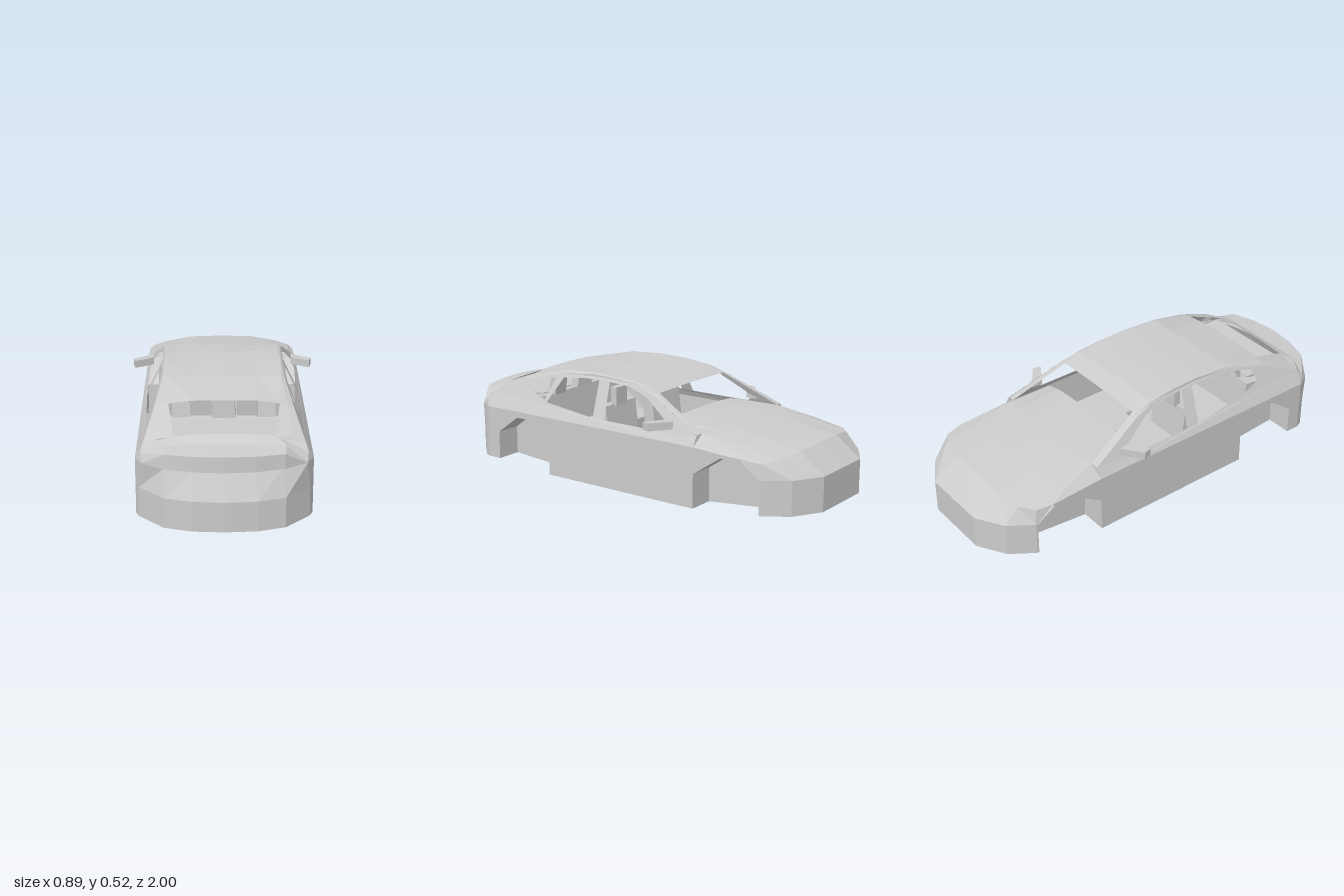
import * as THREE from 'three';

const mat = new THREE.MeshStandardMaterial({ color: 0xcccccc, flatShading: true, side: THREE.DoubleSide });

function mesh(name, geo) {
  const flat = geo.index ? geo.toNonIndexed() : geo;
  flat.computeVertexNormals();
  const m = new THREE.Mesh(flat, mat);
  m.name = name;
  return m;
}

// Skin between rows of [x, y, z] points
function loft(name, rows) {
  const n = rows[0].length, idx = [];
  for (let r = 0; r < rows.length - 1; r++) {
    for (let i = 0; i < n - 1; i++) {
      const a = r * n + i, b = a + n;
      idx.push(a, a + 1, b, b, a + 1, b + 1);
    }
  }
  const g = new THREE.BufferGeometry();
  g.setAttribute('position', new THREE.Float32BufferAttribute(rows.flat(2), 3));
  g.setIndex(idx);
  return mesh(name, g);
}

// Rows run from the left edge to the centre line; complete them on the right
const full = rows => rows.map(r => [...r, ...r.slice(0, -1).reverse().map(([x, y, z]) => [-x, y, z])]);

// Flat outline with holes, whose points are then placed in space by a rule
function panel(name, outline, holes, place) {
  const v = p => new THREE.Vector2(p[0], p[1]);
  const s = new THREE.Shape(outline.map(v));
  s.holes = holes.map(h => new THREE.Path(h.map(v)));
  const g = new THREE.ShapeGeometry(s), p = g.attributes.position;
  for (let i = 0; i < p.count; i++) p.setXYZ(i, ...place(p.getX(i), p.getY(i)));
  return mesh(name, g);
}

function box(name, x, y, z, w, h, d, tilt = 0) {
  const m = mesh(name, new THREE.BoxGeometry(w, h, d));
  m.position.set(x, y, z);
  m.rotation.x = tilt;
  return m;
}

// Linear lookup in a list of [key, value] pairs
function lookup(table, k) {
  for (let i = 1; i < table.length; i++) {
    const [k0, v0] = table[i - 1], [k1, v1] = table[i];
    if (k <= k1) return v0 + (v1 - v0) * Math.max(0, (k - k0) / (k1 - k0));
  }
  return table[table.length - 1][1];
}

const sideX = y => lookup([[0.288, 0.385], [0.323, 0.363], [0.49, 0.285], [0.52, 0.265]], y);
const bottomY = z => lookup([[-0.8, 0.035], [-0.455, 0], [0.4, 0], [0.73, 0.025]], z);

// Wheel arch outlines as [z, y]
const rearArch = [[0.73, 0.025], [0.73, 0.163], [0.605, 0.255], [0.51, 0.255], [0.4, 0.163], [0.4, 0]];
const frontArch = [[-0.455, 0], [-0.455, 0.163], [-0.6, 0.262], [-0.715, 0.262], [-0.8, 0.195], [-0.8, 0.035]];

// Roof stations: z, centre height, edge x, edge height, top of side panel
const roof = [
  [-0.18, 0.476, 0.262, 0.472, 0.462], [-0.09, 0.505, 0.265, 0.502, 0.487], [0.05, 0.516, 0.268, 0.515, 0.499],
  [0.2, 0.518, 0.268, 0.518, 0.502], [0.38, 0.51, 0.262, 0.508, 0.491], [0.6, 0.472, 0.245, 0.457, 0.44],
];

function buildSide() {
  const g = new THREE.Group();
  g.name = 'bodySide';

  g.add(panel('lowerSide', [[0.8, 0.285], [0.8, 0.025], ...rearArch, ...frontArch.slice(0, 4),
    [-0.72, 0.275], [-0.6, 0.28], [-0.455, 0.288]], [], (z, y) => [0.385, y, z]));

  // Window frames
  const windows = [
    [[0.54, 0.388], [0.52, 0.445], [0.42, 0.47], [0.46, 0.36]],
    [[0.44, 0.352], [0.375, 0.473], [0.25, 0.488], [0.16, 0.49], [0.14, 0.323]],
    [[0.096, 0.49], [0.07, 0.323], [-0.26, 0.323], [-0.305, 0.35], [-0.13, 0.455], [-0.02, 0.485]],
  ];
  g.add(panel('windowFrame', [[0.8, 0.285], [-0.455, 0.288], [-0.455, 0.335],
    ...roof.map(s => [s[0], s[4]]), [0.8, 0.35]], windows, (z, y) => [sideX(y), y, z]));

  // Front pillar, roof rail and rear pillar in one strip
  g.add(loft('pillarsAndRail', [
    [[0.385, 0.288, -0.455], [0.355, 0.335, -0.455], [0.32, 0.338, -0.46]],
    ...roof.map(([z, , ex, ey, sy]) => [[sideX(sy), sy, z], [(sideX(sy) + ex) / 2 + 0.004, (sy + ey) / 2 + 0.002, z], [ex, ey, z]]),
    [[sideX(0.35), 0.35, 0.8], [0.29, 0.37, 0.8], [0.22, 0.385, 0.8]],
  ].map((r, i) => (i ? r : [r[1], [0.338, 0.338, -0.455], r[2]]))));

  g.add(loft('rearCorner', [
    [[0.385, 0.285, 0.8], [0.385, 0.285, 0.8], [0.385, 0.285, 0.8]],
    [[0.351, 0.35, 0.8], [0.36, 0.32, 0.83], [0.355, 0.286, 0.86]],
  ]));

  // Wheel wells: liner and inner wall
  for (const [name, arch] of [['rearWheelWell', rearArch], ['frontWheelWell', frontArch]]) {
    g.add(loft(name, [0.385, 0.255].map(x => arch.map(([z, y]) => [z < -0.75 && x > 0.3 ? 0.377 : x, y, z]))));
    g.add(panel(name + 'Wall', arch, [], (z, y) => [0.255, y, z]));
  }

  // Door mirror
  const plan = [[0.35, -0.32], [0.445, -0.25], [0.435, -0.21], [0.345, -0.265]];
  const geo = new THREE.ExtrudeGeometry(new THREE.Shape(plan.map(([x, z]) => new THREE.Vector2(x, -z))),
    { depth: 0.036, bevelEnabled: false });
  geo.rotateX(-Math.PI / 2).translate(0, 0.341, 0);
  g.add(mesh('doorMirror', geo));

  // Seats on this side
  g.add(box('frontSeatCushion', 0.18, 0.14, -0.02, 0.23, 0.1, 0.26));
  g.add(box('frontSeatBack', 0.18, 0.24, 0.13, 0.23, 0.25, 0.06, 0.12));
  g.add(box('frontHeadrest', 0.19, 0.405, 0.118, 0.08, 0.09, 0.035));
  g.add(box('rearHeadrest', 0.192, 0.405, 0.5, 0.08, 0.09, 0.04, -0.15));
  return g;
}

export function createModel() {
  const car = new THREE.Group();
  car.name = 'carBody';

  const left = buildSide(), right = buildSide();
  left.name = 'leftSide';
  right.name = 'rightSide';
  right.scale.x = -1;
  car.add(left, right);

  car.add(loft('roof', full(roof.map(([z, yc, ex, ey]) =>
    [[ex, ey, z], [0.14, yc - 0.002, z], [0, yc, z]]))));

  // Nose bumper and hood
  const nose = [[0.377, -0.8], [0.375, -0.81], [0.3, -0.92], [0.165, -1], [0, -1]];
  const hoodLip = [[0.385, 0.275, -0.72], [0.365, 0.268, -0.8], [0.3, 0.275, -0.85], [0.165, 0.292, -0.875], [0, 0.295, -0.88]];
  car.add(loft('frontBumper', full([
    nose.map(([x, z]) => [x, 0.035, z]),
    nose.map(([x, z]) => [x, 0.198, z]),
    hoodLip,
  ])));
  const hoodBack = [[0.385, 0.288, -0.455], [0.32, 0.338, -0.46], [0.24, 0.343, -0.475], [0.15, 0.346, -0.49], [0, 0.348, -0.495]];
  car.add(loft('hood', full([
    hoodLip,
    [[0.385, 0.28, -0.6], [0.355, 0.302, -0.64], [0.29, 0.313, -0.66], [0.16, 0.322, -0.68], [0, 0.325, -0.68]],
    hoodBack,
  ])));
  car.add(loft('fenderTop', [[[0.385, 0.288, -0.455], [0.355, 0.335, -0.455]], [[0.385, 0.288, -0.455], [0.32, 0.338, -0.46]]]));
  car.add(loft('fenderTop', [[[-0.385, 0.288, -0.455], [-0.355, 0.335, -0.455]], [[-0.385, 0.288, -0.455], [-0.32, 0.338, -0.46]]]));

  // Dashboard running back from the hood, with its drop to the floor
  car.add(loft('dashboard', full([
    hoodBack.slice(1),
    [[0.32, 0.335, -0.24], [0.24, 0.355, -0.24], [0.15, 0.362, -0.24], [0, 0.365, -0.24]],
    [[0.32, 0.03, -0.26], [0.24, 0.03, -0.26], [0.15, 0.03, -0.26], [0, 0.03, -0.26]],
  ])));

  // Tail bumper, trunk lid and its overhanging lip
  const tail = [[0.385, 0.8], [0.37, 0.835], [0.26, 0.95], [0.14, 0.987], [0, 0.997]];
  car.add(loft('rearBumper', full([
    tail.map(([x, z]) => [x, 0.025, z]),
    tail.map(([x, z]) => [x, 0.163, z]),
    [[0.385, 0.285, 0.8], [0.355, 0.285, 0.86], [0.25, 0.285, 0.905], [0.13, 0.285, 0.928], [0, 0.285, 0.935]],
  ])));
  car.add(loft('trunkLid', full([
    [[0.351, 0.35, 0.8], [0.22, 0.385, 0.8], [0.12, 0.392, 0.8], [0, 0.395, 0.8]],
    [[0.36, 0.32, 0.83], [0.265, 0.36, 0.85], [0.13, 0.366, 0.85], [0, 0.367, 0.85]],
    [[0.355, 0.286, 0.86], [0.255, 0.35, 0.92], [0.13, 0.354, 0.955], [0, 0.356, 0.967]],
    [[0.355, 0.285, 0.86], [0.255, 0.285, 0.925], [0.13, 0.285, 0.958], [0, 0.285, 0.97]],
    [[0.355, 0.285, 0.86], [0.25, 0.285, 0.905], [0.13, 0.285, 0.928], [0, 0.285, 0.935]],
  ])));

  // Floor pan with wheel notches
  const half = [...[...tail].reverse(), [0.385, 0.73], [0.255, 0.73], [0.255, 0.4], [0.385, 0.4],
    [0.385, -0.455], [0.255, -0.455], [0.255, -0.8], ...nose];
  const other = half.slice(1, -1).reverse().map(([x, z]) => [-x, z]);
  car.add(panel('floorPan', [...half, ...other], [], (x, z) => [x, bottomY(z), z]));

  // Cabin centre parts
  car.add(box('rearBenchCushion', 0, 0.14, 0.38, 0.64, 0.1, 0.24));
  car.add(box('rearBenchBack', 0, 0.23, 0.52, 0.6, 0.26, 0.06, 0.1));
  car.add(box('parcelShelf', 0, 0.355, 0.675, 0.5, 0.015, 0.25));
  car.add(box('centreConsole', 0, 0.13, -0.11, 0.1, 0.16, 0.26));
  const head = mesh('centreHeadrest', new THREE.CylinderGeometry(0.06, 0.078, 0.1, 4).rotateY(Math.PI / 4).scale(1, 1, 0.4));
  head.position.set(0, 0.412, 0.51);
  car.add(head);
  return car;
}
